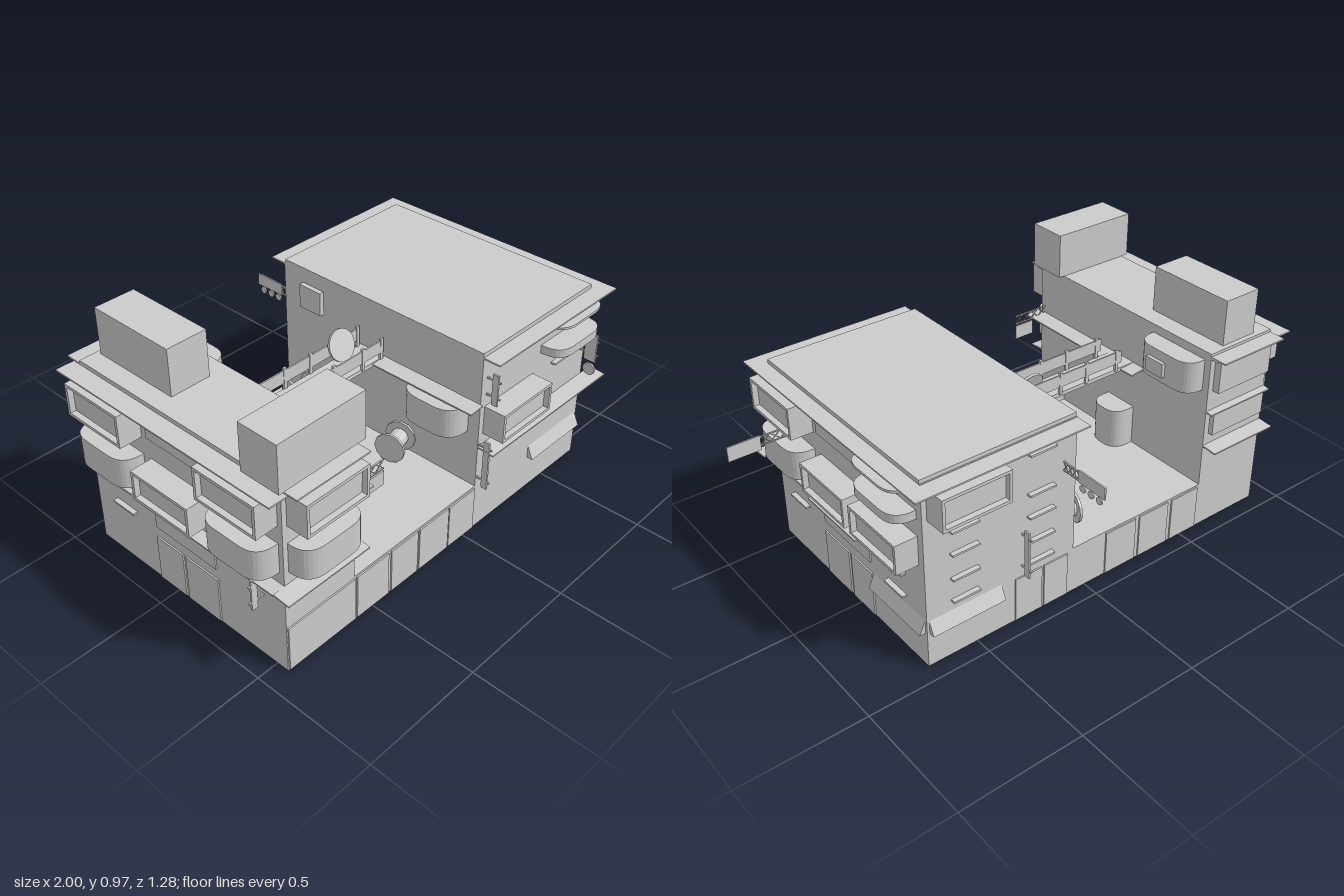
import * as THREE from 'three';

const mat = new THREE.MeshStandardMaterial({ color: 0xcccccc, flatShading: true, side: THREE.DoubleSide });

function add(parent, geo, name, x = 0, y = 0, z = 0) {
  const m = new THREE.Mesh(geo, mat);
  m.name = name;
  m.position.set(x, y, z);
  parent.add(m);
  return m;
}

// Box given by its limits on each axis
function box(parent, name, x0, x1, y0, y1, z0, z1) {
  return add(parent, new THREE.BoxGeometry(x1 - x0, y1 - y0, z1 - z0), name, (x0 + x1) / 2, (y0 + y1) / 2, (z0 + z1) / 2);
}

// Hollow shell: drops chosen box sides (0 +x, 1 -x, 2 +y, 3 -y, 4 +z, 5 -z)
function shell(parent, name, dropped, ...limits) {
  const m = box(parent, name, ...limits);
  const index = Array.from(m.geometry.index.array);
  m.geometry.setIndex(index.filter((_, i) => !dropped.includes(Math.floor(i / 6))));
  return m;
}

// A wall group whose local +z points outward; s turns world positions along the wall into local x
function wall(parent, name, x, z, ry, s) {
  const g = new THREE.Group();
  g.name = name;
  g.position.set(x, 0, z);
  g.rotation.y = ry;
  parent.add(g);
  const span = (a, b) => (s > 0 ? [a, b] : [-b, -a]);

  // Plan outline with rounded outer corners, extruded upward
  const roundSlab = (label, a, b, y0, y1, d) => {
    const [l, r] = span(a, b), c = Math.min(d, (r - l) / 2) * 0.9;
    const p = new THREE.Shape();
    p.moveTo(l, 0);
    p.lineTo(r, 0);
    p.lineTo(r, -(d - c));
    p.quadraticCurveTo(r, -d, r - c, -d);
    p.lineTo(l + c, -d);
    p.quadraticCurveTo(l, -d, l, -(d - c));
    const geo = new THREE.ExtrudeGeometry(p, { depth: y1 - y0, bevelEnabled: false, curveSegments: 8 });
    geo.rotateX(-Math.PI / 2);
    add(g, geo, label, 0, y0, 0);
  };

  return {
    // Projecting window frame with a recessed pane
    bay(a, b, y0, y1, d = 0.09) {
      const [l, r] = span(a, b), t = 0.012;
      const p = new THREE.Shape([[l, y0], [r, y0], [r, y1], [l, y1]].map(v => new THREE.Vector2(...v)));
      p.holes.push(new THREE.Path([[l + t, y0 + t], [l + t, y1 - t], [r - t, y1 - t], [r - t, y0 + t]].map(v => new THREE.Vector2(...v))));
      add(g, new THREE.ExtrudeGeometry(p, { depth: d, bevelEnabled: false }), 'bayFrame');
      box(g, 'bayPane', l + t, r - t, y0 + t, y1 - t, 0, d * 0.75);
    },
    roundBay(a, b, y0, y1, d = 0.09) { roundSlab('roundBay', a, b, y0, y1, d); },
    // Open balcony: low parapet and thin canopy
    balcony(a, b, y0, y1, d = 0.09) {
      roundSlab('balconyParapet', a, b, y0, y0 + 0.035, d);
      roundSlab('balconyCanopy', a, b, y1 - 0.01, y1, d);
    },
    panel(a, b, y0, y1, label = 'panel', d = 0.006) {
      const [l, r] = span(a, b);
      box(g, label, l, r, y0, y1, 0, d);
    },
    slit(c, y) {
      box(g, 'louvre', s * c - 0.057, s * c + 0.057, y, y + 0.008, 0, 0.02);
    },
    awning(a, b, y, d = 0.07) {
      const [l, r] = span(a, b);
      box(g, 'awning', l, r, y, y + 0.006, 0, d).rotation.x = 0.08;
    },
    // Wedge shaped canopy over the ground floor
    canopy(a, b, y0 = 0.145, y1 = 0.2, d = 0.025) {
      const [l, r] = span(a, b);
      const p = new THREE.Shape([new THREE.Vector2(0, y0), new THREE.Vector2(d, y0), new THREE.Vector2(0, y1)]);
      const geo = new THREE.ExtrudeGeometry(p, { depth: r - l, bevelEnabled: false });
      geo.rotateY(-Math.PI / 2);
      add(g, geo, 'canopy', r, 0, 0);
    },
    // Thin blade sign standing out from the wall, held by two rods
    blade(c, y0, y1, near, far) {
      box(g, 'bladeSign', s * c - 0.004, s * c + 0.004, y0, y1, near, far);
      for (const y of [y0 + 0.03, y1 - 0.03]) box(g, 'signRod', s * c - 0.003, s * c + 0.003, y, y + 0.006, 0, far + 0.01);
    },
    // Lattice arm carrying a sign plate
    armSign(c, y, arm, p0, p1, q0, q1, discs = 0) {
      const x = s * c, t = 0.003;
      for (const h of [y, y + 0.036]) box(g, 'armChord', x - t, x + t, h, h + 0.004, 0, arm);
      for (let i = 0; i < 4; i++) for (const k of [-1, 1]) {
        const brace = add(g, new THREE.BoxGeometry(t, t, Math.hypot(arm / 4, 0.036)), 'armBrace', x, y + 0.02, arm * (i + 0.5) / 4);
        brace.rotation.x = k * Math.atan2(0.036, arm / 4);
      }
      box(g, 'signPlate', x - t, x + t, q0, q1, p0, p1);
      for (let i = 0; i < discs; i++) {
        const geo = new THREE.CylinderGeometry(0.015, 0.015, 0.006, 12).rotateZ(Math.PI / 2);
        add(g, geo, 'signDisc', x, q0 - 0.018, p0 + (p1 - p0) * (i + 0.5) / discs * 0.95);
      }
    },
  };
}

function cableSpool(parent, x, y, z, ry) {
  const g = new THREE.Group();
  g.name = 'cableSpool';
  const disc = r => new THREE.CylinderGeometry(r, r, 0.01, 12).rotateZ(Math.PI / 2);
  for (const k of [-1, 1]) add(g, disc(0.063), 'spoolFlange', k * 0.045);
  add(g, new THREE.CylinderGeometry(0.035, 0.035, 0.09, 12).rotateZ(Math.PI / 2), 'spoolCore');
  g.position.set(x, y, z);
  g.rotation.y = ry;
  parent.add(g);
}

export function createModel() {
  const model = new THREE.Group();
  model.name = 'twinTowerBlock';
  const HALF = Math.PI / 2;

  // Hollow base, courtyard deck, towers and flat roofs
  shell(model, 'baseWalls', [2, 3], -0.91, 0.71, 0, 0.2, -0.43, 0.55);
  box(model, 'courtyardDeck', -0.59, 0.06, 0.194, 0.2, -0.43, 0.55);
  shell(model, 'leftTower', [3], 0.06, 0.71, 0.2, 0.77, -0.43, 0.55);
  shell(model, 'rightTower', [3], -0.91, -0.59, 0.2, 0.77, -0.43, 0.55);
  box(model, 'leftRoof', 0.06, 0.71, 0.77, 0.785, -0.425, 0.55);
  box(model, 'rightRoof', -0.91, -0.59, 0.77, 0.785, -0.43, 0.55);
  box(model, 'frontRoofBlock', -0.94, -0.565, 0.785, 0.97, 0.41, 0.575);
  box(model, 'rearRoofBlock', -0.835, -0.67, 0.785, 0.97, -0.41, -0.035);

  // Roof eaves
  box(model, 'leftEaves', 0.06, 0.775, 0.762, 0.768, -0.5, 0.62);
  box(model, 'rightEaves', -0.985, -0.59, 0.762, 0.768, -0.465, 0.58);
  box(model, 'rightEavesLong', -0.91, -0.59, 0.768, 0.774, -0.5, 0.62);

  // Front wall
  const front = wall(model, 'frontWall', 0, 0.55, 0, 1);
  front.bay(-0.89, -0.615, 0.62, 0.75);
  front.roundBay(-0.89, -0.615, 0.43, 0.55);
  front.balcony(0.41, 0.69, 0.62, 0.75);
  front.bay(0.085, 0.37, 0.43, 0.55);
  front.awning(0.06, 0.775, 0.375);
  front.awning(-0.96, -0.59, 0.375);
  for (const [x, y] of [[0.22, 0.73], [0.545, 0.535], [-0.755, 0.335], [0.22, 0.31], [0.54, 0.31]]) front.slit(x, y);
  front.canopy(0.39, 0.7);
  for (const [a, b] of [[-0.58, -0.42], [-0.405, -0.265], [-0.255, -0.095], [-0.09, 0.055]]) front.panel(a, b, 0.005, 0.192, 'door');
  front.panel(-0.905, -0.59, 0.005, 0.192);
  front.blade(0.09, 0.57, 0.7, 0.025, 0.05);
  front.blade(0.68, 0.48, 0.6, 0.025, 0.075);
  front.blade(0.065, 0.21, 0.42, 0.025, 0.05);
  add(model, new THREE.CylinderGeometry(0.026, 0.026, 0.008, 16).rotateZ(HALF), 'signDisc', 0.68, 0.442, 0.602);

  // Wall on the +x side
  const left = wall(model, 'leftWall', 0.71, 0, HALF, -1);
  left.bay(0.25, 0.53, 0.62, 0.75);
  left.balcony(-0.4, -0.12, 0.62, 0.75);
  left.roundBay(0.25, 0.53, 0.43, 0.55);
  left.bay(-0.08, 0.205, 0.43, 0.55);
  left.bay(-0.4, -0.115, 0.43, 0.55);
  left.panel(-0.09, 0.22, 0.635, 0.735, 'window');
  left.panel(-0.09, 0.22, 0.245, 0.345, 'window');
  left.awning(-0.1, 0.22, 0.375, 0.065);
  left.canopy(-0.42, -0.1);
  left.panel(0.06, 0.225, 0.005, 0.197, 'door');
  left.panel(-0.095, 0.045, 0.005, 0.197, 'door');
  for (const z of [0.393, -0.257]) for (const y of [0.238, 0.333]) left.slit(z, y);
  left.armSign(0.35, 0.575, 0.16, 0.16, 0.29, 0.56, 0.62);

  // Back wall
  const back = wall(model, 'backWall', 0, -0.43, Math.PI, -1);
  back.bay(0.41, 0.69, 0.62, 0.75);
  back.canopy(0.39, 0.7);
  for (const x of [0.22, 0.55]) for (const y of [0.24, 0.335, 0.44, 0.535]) back.slit(x, y);
  back.slit(0.22, 0.7);
  back.awning(-0.91, -0.59, 0.375, 0.065);
  back.awning(-0.91, -0.59, 0.53, 0.03);
  back.panel(-0.89, -0.615, 0.62, 0.75, 'window', 0.03);
  back.panel(-0.89, -0.615, 0.43, 0.52, 'window', 0.02);
  for (const [a, b] of [[0.09, 0.2], [0.21, 0.33], [-0.25, -0.1], [-0.42, -0.27], [-0.58, -0.44]]) back.panel(a, b, 0.005, 0.192, 'door');
  back.armSign(0.115, 0.57, 0.09, 0.08, 0.215, 0.565, 0.615, 3);
  back.blade(0.3, 0.21, 0.41, 0.02, 0.045);

  // Wall on the -x side
  const right = wall(model, 'rightWall', -0.91, 0, -HALF, 1);
  for (const z of [-0.4, 0.25]) right.bay(z, z + 0.28, 0.62, 0.75);
  right.roundBay(-0.4, -0.12, 0.43, 0.55);
  right.bay(-0.08, 0.205, 0.43, 0.55);
  right.roundBay(0.25, 0.53, 0.43, 0.55);
  right.panel(-0.09, 0.22, 0.635, 0.735, 'window');
  right.panel(-0.09, 0.22, 0.245, 0.345, 'window');
  right.awning(-0.1, 0.55, 0.375, 0.05);
  right.panel(0.06, 0.225, 0.005, 0.197, 'door');
  right.panel(-0.095, 0.045, 0.005, 0.197, 'door');
  right.slit(-0.257, 0.333);
  right.slit(-0.257, 0.238);
  right.blade(0.45, 0.25, 0.38, 0.03, 0.055);

  // Walls facing the courtyard
  const innerRight = wall(model, 'rightCourtWall', -0.59, 0, HALF, -1);
  innerRight.roundBay(-0.4, -0.125, 0.62, 0.75, 0.085);
  innerRight.roundBay(-0.04, 0.11, 0.2, 0.37, 0.1);
  innerRight.awning(-0.09, 0.57, 0.562);
  innerRight.armSign(0.53, 0.562, 0.16, 0.07, 0.16, 0.495, 0.555);
  const innerLeft = wall(model, 'leftCourtWall', 0.06, 0, -HALF, 1);
  innerLeft.roundBay(0.25, 0.5, 0.43, 0.55, 0.1);
  innerLeft.awning(-0.085, 0.56, 0.562, 0.065);
  innerLeft.panel(-0.33, -0.22, 0.62, 0.72, 'window', 0.02);
  box(model, 'wallUnit', -0.51, -0.49, 0.65, 0.71, -0.28, -0.19);

  // Footbridge with railings, and the dish on it
  box(model, 'bridgeDeck', -0.59, 0.06, 0.555, 0.572, -0.025, 0.095);
  for (const z of [-0.025, 0.095]) {
    box(model, 'bridgeRail', -0.52, 0.05, 0.597, 0.65, z - 0.003, z + 0.003);
    for (const x of [-0.495, -0.34, -0.21, -0.06, 0.04]) box(model, 'bridgePost', x - 0.007, x + 0.007, 0.565, 0.66, z - 0.005, z + 0.005);
  }
  const dish = add(model, new THREE.CylinderGeometry(0.063, 0.063, 0.01, 20), 'dish', -0.073, 0.64, 0);
  dish.rotation.x = HALF * 0.75;

  // Yard clutter
  box(model, 'crate', -0.59, -0.535, 0.2, 0.25, 0.39, 0.45);
  cableSpool(model, -0.01, 0.263, -0.29, -0.25);
  cableSpool(model, 0.0, 0.263, 0.21, 0.25);

  return model;
}
